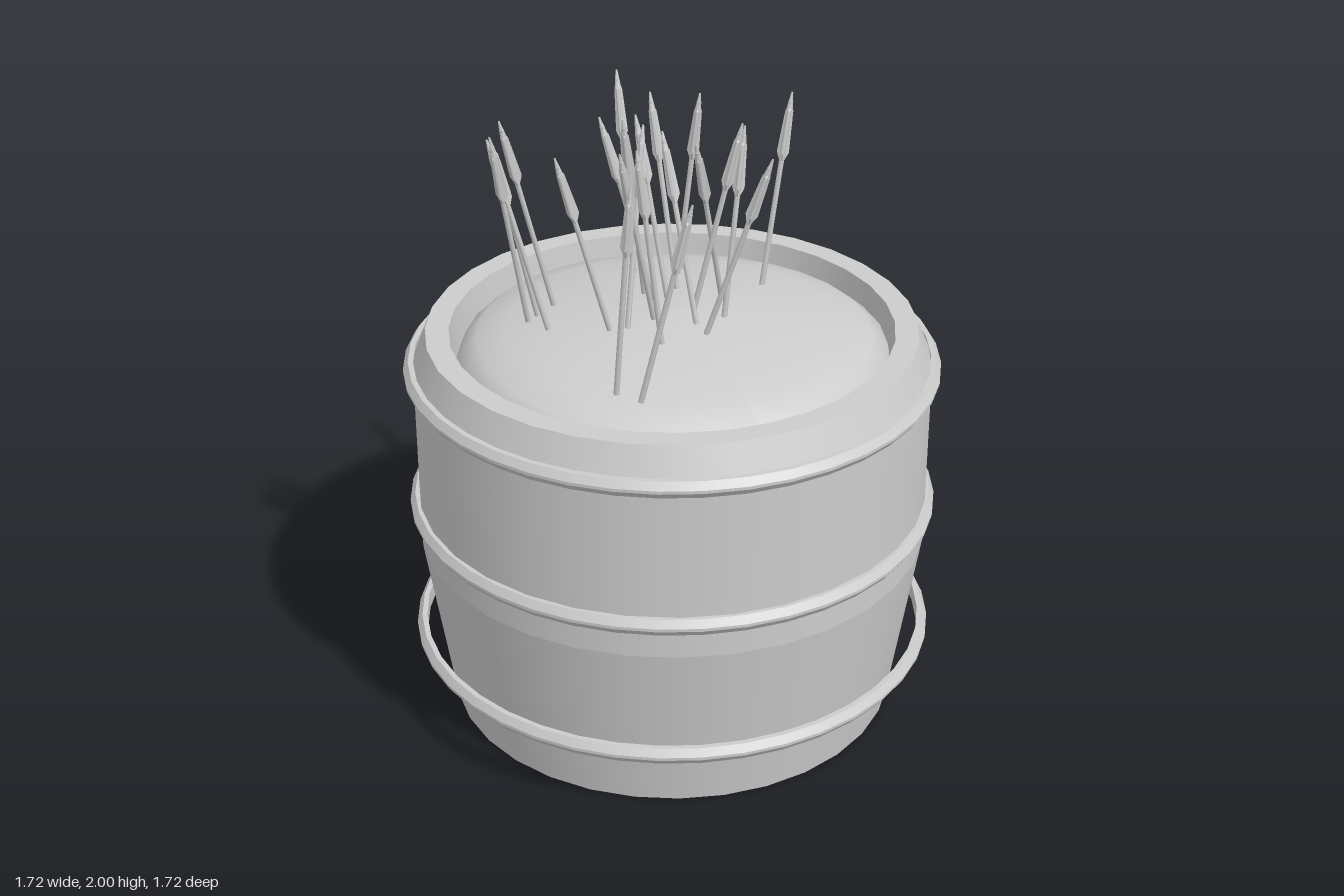
import * as THREE from 'three';
import { mergeGeometries } from 'three/addons/utils/BufferGeometryUtils.js';

const grey = new THREE.MeshStandardMaterial({ color: 0xcccccc, side: THREE.DoubleSide });
grey.name = 'plainGrey';

// Smooth-sided bands joined with hard edges, from [radius, y] points
function banded(points, sides) {
  const parts = [];
  for (let i = 0; i < points.length - 1; i++) {
    // each band gets its own lathe, so the edges between bands stay sharp
    const pair = [points[i], points[i + 1]].map(([r, y]) => new THREE.Vector2(r, y));
    parts.push(new THREE.LatheGeometry(pair, sides));
  }
  return mergeGeometries(parts);
}

function add(group, name, geometry) {
  const mesh = new THREE.Mesh(geometry, grey);
  mesh.name = name;
  group.add(mesh);
  return mesh;
}

// Shaft, three tapering vanes and a pointed nock, along +y with length 1
function arrowParts(length) {
  const shaft = new THREE.CylinderGeometry(0.008, 0.009, length - 0.03, 6);
  shaft.translate(0, (length - 0.03) / 2, 0);
  const nock = new THREE.CylinderGeometry(0.003, 0.011, 0.06, 6);
  nock.translate(0, length - 0.03, 0);
  const vaneShape = new THREE.Shape([
    [0, length - 0.24], [0.021, length - 0.2], [0.013, length - 0.06], [0, length - 0.04],
  ].map(([x, y]) => new THREE.Vector2(x, y)));
  const vanes = [0, 1, 2].map((i) => {
    const vane = new THREE.ExtrudeGeometry(vaneShape, { depth: 0.005, bevelEnabled: false });
    vane.translate(0, 0, -0.0025);
    return vane.rotateY((i * Math.PI * 2) / 3);
  });
  return { shaft, nock, vanes: mergeGeometries(vanes) };
}

// Base x, z and tip x, z of each arrow
const ARROWS = [
  [0.015, -0.34, 0.02, -0.48], [0.14, -0.27, 0.2, -0.23], [0.08, -0.14, 0.04, -0.26],
  [0.02, -0.08, -0.04, -0.19], [-0.02, -0.08, -0.17, -0.17], [-0.31, -0.235, -0.48, -0.22],
  [-0.38, -0.2, -0.52, -0.2], [-0.39, -0.08, -0.55, -0.14], [-0.42, -0.18, -0.56, -0.08],
  [-0.23, 0.04, -0.4, 0.035], [-0.18, 0.06, -0.07, -0.06], [-0.03, -0.15, -0.13, -0.08],
  [0.03, 0.12, -0.02, -0.03], [-0.08, 0.04, -0.23, 0.13], [-0.12, 0.19, -0.19, 0.165],
  [0.18, -0.01, 0.03, 0.11], [0.13, 0.11, 0.21, 0.075], [0.06, 0.03, 0.19, 0.1],
  [0.03, 0.19, 0.19, 0.31], [0.36, -0.09, 0.47, -0.12], [-0.35, 0.37, -0.315, 0.41],
  [-0.3, 0.44, -0.17, 0.52],
];

export function createModel() {
  const model = new THREE.Group();
  model.name = 'arrowBarrel';

  // Barrel wall, rim and inner wall
  add(model, 'barrelWall', banded([
    [0.738, 0], [0.83, 0.6], [0.83, 1.2], [0.785, 1.31], [0.71, 1.31], [0.69, 1.15],
  ], 32));
  const bottom = add(model, 'barrelBottom', new THREE.CircleGeometry(0.738, 32));
  bottom.rotation.x = Math.PI / 2;

  // Hoops of equal size, so the lowest one stands clear of the wall
  const hoop = banded([
    [0.825, -0.028], [0.842, -0.028], [0.858, -0.006], [0.858, 0.004],
    [0.842, 0.028], [0.825, 0.028], [0.825, -0.028],
  ], 40);
  [0.242, 0.716, 1.193].forEach((y) => { add(model, 'hoop', hoop).position.y = y; });

  // Uneven mound filling the barrel
  const profile = [[0.705, 1.16], [0.68, 1.23], [0.63, 1.275], [0.53, 1.31], [0.38, 1.338],
    [0.2, 1.36], [0, 1.368]].map(([r, y]) => new THREE.Vector2(r, y));
  const mound = new THREE.LatheGeometry(profile, 32);
  const p = mound.attributes.position;
  for (let i = 0; i < p.count; i++) {
    const x = p.getX(i), z = p.getZ(i), r = Math.hypot(x, z), a = Math.atan2(z, x);
    const fade = r > 0.7 ? 0 : r / 0.7;
    const s = 1 + 0.018 * fade * Math.sin(3 * a + 1);
    p.setXYZ(i, x * s, p.getY(i) + 0.006 * fade * Math.cos(2 * a), z * s);
  }
  mound.computeVertexNormals();
  add(model, 'filling', mound);

  // Arrows leaning at different angles
  const up = new THREE.Vector3(0, 1, 0);
  ARROWS.forEach(([bx, bz, tx, tz], i) => {
    const base = new THREE.Vector3(bx, 1.36 - 0.17 * (bx * bx + bz * bz), bz);
    const tip = new THREE.Vector3(tx, 1.96 + 0.02 * ((i * 7) % 3 - 0) * 0.95, tz);
    if (i === 0 || i === 20) tip.y = 2;
    const along = tip.clone().sub(base);
    const arrow = new THREE.Group();
    arrow.name = 'arrow';
    const { shaft, nock, vanes } = arrowParts(along.length());
    add(arrow, 'shaft', shaft);
    add(arrow, 'nock', nock);
    add(arrow, 'vanes', vanes);
    arrow.position.copy(base);
    arrow.quaternion.setFromUnitVectors(up, along.normalize());
    model.add(arrow);
  });
  return model;
}
